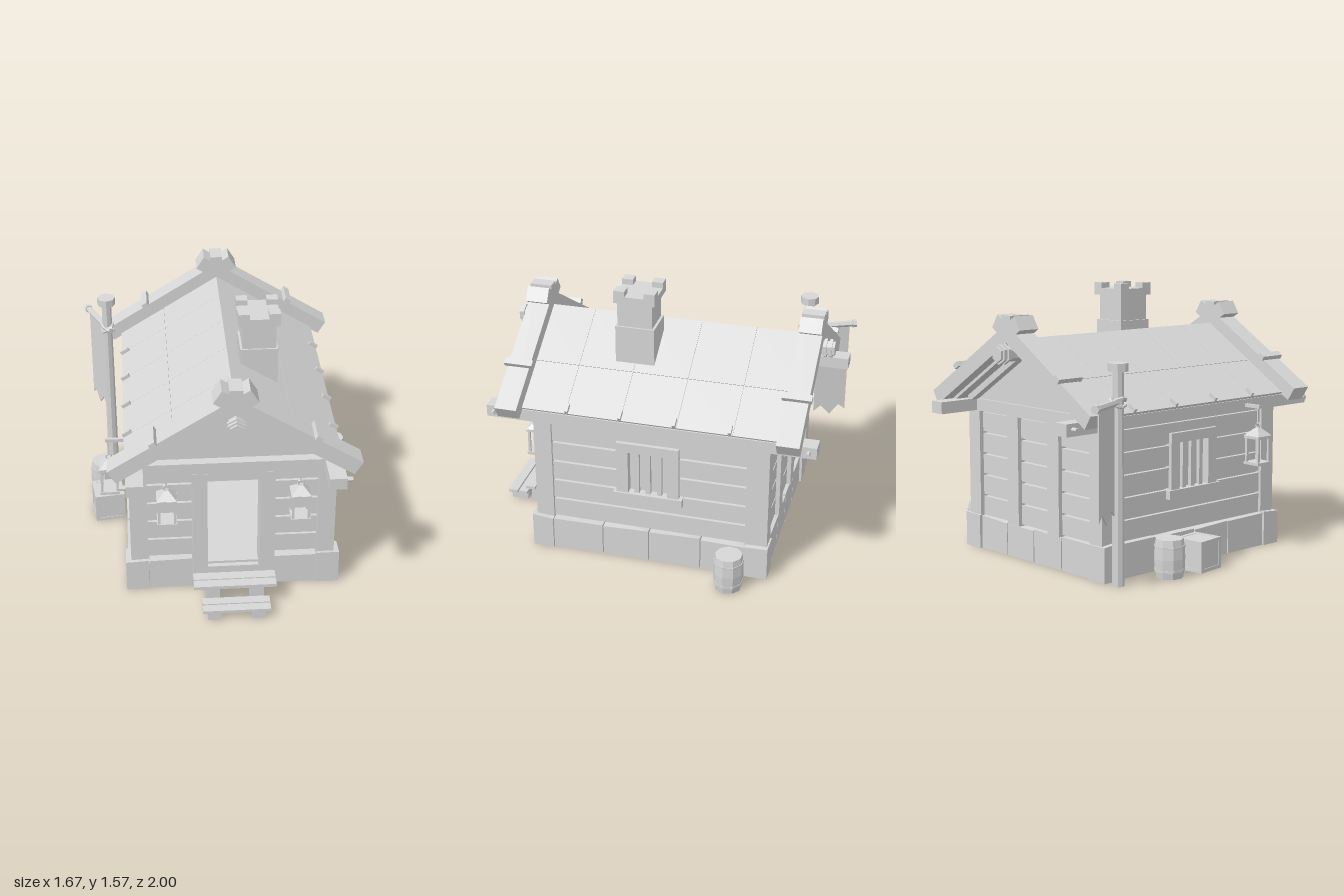
import * as THREE from 'three';

export function createModel() {
  const model = new THREE.Group();
  const house = new THREE.Group();
  house.name = 'house';
  house.position.x = 0.006;
  const props = new THREE.Group();
  props.name = 'yardProps';
  model.add(house, props);
  const clay = new THREE.MeshStandardMaterial({ color: 0xd6d6d6 });

  // Mesh with faceted normals
  function add(name, geo, x = 0, y = 0, z = 0, parent = house) {
    const flat = geo.index ? geo.toNonIndexed() : geo;
    flat.computeVertexNormals();
    const mesh = new THREE.Mesh(flat, clay);
    mesh.name = name;
    mesh.position.set(x, y, z);
    parent.add(mesh);
    return mesh;
  }
  // Box given by its limits
  const span = (name, x0, x1, y0, y1, z0, z1, parent = house) =>
    add(name, new THREE.BoxGeometry(x1 - x0, y1 - y0, z1 - z0),
      (x0 + x1) / 2, (y0 + y1) / 2, (z0 + z1) / 2, parent);
  // Same box on side s (+1 left, -1 right)
  const sided = (name, s, x0, x1, ...rest) =>
    span(name, s > 0 ? x0 : -x1, s > 0 ? x1 : -x0, ...rest);
  const sides = [1, -1];
  const outline = (pts) => new THREE.Shape(pts.map((p) => new THREE.Vector2(...p)));

  // Rough hewn stone: box whose top corners drop a little
  let seed = 7;
  const rnd = () => (seed = (seed * 16807) % 2147483647) / 2147483647;
  function stone(...lim) {
    const mesh = span('foundationStone', ...lim);
    const p = mesh.geometry.attributes.position;
    const drop = [rnd(), rnd(), rnd(), rnd()].map((r) => r * 0.02);
    for (let i = 0; i < p.count; i++) {
      const k = (p.getX(i) > 0 ? 1 : 0) + (p.getZ(i) > 0 ? 2 : 0);
      if (p.getY(i) > 0) p.setY(i, p.getY(i) - drop[k]);
    }
    mesh.geometry.computeVertexNormals();
  }

  // Foundation
  for (const s of sides) {
    const x = (a, b) => (s > 0 ? [a, b] : [-b, -a]);
    stone(...x(0.49, 0.623), 0, 0.215, 0.555, 0.68);
    stone(...x(0.49, 0.623), 0, 0.215, -0.74, -0.605);
    [0.557, 0.25, -0.03, -0.34, -0.607].forEach((z, i, a) => {
      if (i) stone(...x(0.5, 0.61), 0, 0.205, z + 0.003, a[i - 1] - 0.003);
    });
    stone(...x(0.238, 0.487), 0, 0.205, 0.56, 0.67);
    for (let i = 0; i < 2; i++) stone(...x(0.003 + i * 0.245, 0.242 + i * 0.245), 0, 0.205, -0.725, -0.61);
  }
  span('threshold', -0.235, 0.235, 0, 0.135, 0.56, 0.67);

  // Floor and joists
  span('floor', -0.52, 0.52, 0.13, 0.15, -0.65, 0.64);
  for (const z of [-0.24, 0.2]) span('floorJoist', -0.5, 0.5, 0.08, 0.13, z - 0.025, z + 0.025);

  // Corner posts and back posts
  for (const s of sides) {
    sided('cornerPost', s, 0.49, 0.592, 0.19, 0.835, 0.555, 0.66);
    sided('cornerPost', s, 0.49, 0.592, 0.19, 0.835, -0.73, -0.6);
    sided('backPost', s, 0.13, 0.23, 0.19, 0.835, -0.73, -0.67);
  }

  // Plank walls over a thin backing
  const rowH = 0.127;
  for (let i = 0; i < 5; i++) {
    const y0 = 0.2 + i * rowH, y1 = y0 + 0.114;
    span('backPlank', -0.49, 0.49, y0, y1, -0.705, -0.67);
    for (const s of sides) {
      sided('frontPlank', s, 0.235, 0.49, y0, y1, 0.59, 0.625);
      if (i === 2 || i === 3) {
        sided('sidePlank', s, 0.54, 0.575, y0, y1, 0.12, 0.555);
        sided('sidePlank', s, 0.54, 0.575, y0, y1, -0.6, -0.16);
      } else sided('sidePlank', s, 0.54, 0.575, y0, y1, -0.6, 0.555);
    }
  }
  span('backWall', -0.5, 0.5, 0.15, 0.84, -0.675, -0.65);
  for (const s of sides) {
    sided('frontWall', s, 0.2, 0.5, 0.15, 0.84, 0.575, 0.6);
    sided('sideWall', s, 0.53, 0.55, 0.15, 0.84, -0.65, 0.57);

    // Barred window
    sided('windowSill', s, 0.54, 0.61, 0.39, 0.442, -0.228, 0.183);
    sided('windowHead', s, 0.54, 0.6, 0.71, 0.767, -0.206, 0.163);
    sided('windowJamb', s, 0.54, 0.597, 0.442, 0.71, 0.094, 0.163);
    sided('windowJamb', s, 0.54, 0.597, 0.442, 0.71, -0.206, -0.14);
    for (const z of [0.045, -0.022, -0.09])
      sided('windowBar', s, 0.562, 0.585, 0.442, 0.71, z - 0.014, z + 0.014);
  }

  // Doorway with the door swung inward
  for (const s of sides) sided('doorPost', s, 0.15, 0.235, 0.13, 0.835, 0.575, 0.737);
  span('doorLintel', -0.265, 0.265, 0.785, 0.835, 0.575, 0.735);
  span('door', -0.165, -0.148, 0.152, 0.775, 0.28, 0.575);
  for (const y of [0.32, 0.62]) span('doorHinge', -0.15, -0.14, y - 0.012, y + 0.012, 0.56, 0.585);

  // Steps, two planks to each tread
  [[0.238, 0.125, 0.145, 0.74, 0.87], [0.195, 0.054, 0.072, 0.88, 1.0]].forEach(([w, y0, y1, z0, z1]) => {
    const mid = (z0 + z1) / 2;
    span('stepTread', -w, w, y0, y1, z0, mid - 0.004);
    span('stepTread', -w, w, y0, y1, mid + 0.004, z1);
    for (const s of sides) sided('stepSupport', s, 0.088, 0.165, 0, y0, z0 + 0.005, z1 - 0.01);
  });

  // Wall plates with pegs, tie beams, gables
  for (const s of sides) {
    sided('wallPlate', s, 0.508, 0.605, 0.835, 0.905, -0.99, 0.935);
    for (const z of [0.89, -0.945]) {
      const peg = new THREE.CylinderGeometry(0.014, 0.014, 0.06, 6).rotateZ(Math.PI / 2);
      add('platePeg', peg, s * 0.612, 0.872, z);
    }
  }
  span('frontTieBeam', -0.51, 0.51, 0.833, 0.905, 0.6, 0.735);
  span('backTieBeam', -0.51, 0.51, 0.833, 0.905, -0.735, -0.64);
  const gable = outline([[-0.58, 0.9], [0.58, 0.9], [0, 1.27]]);
  for (const z of [0.64, -0.72])
    add('gable', new THREE.ExtrudeGeometry(gable, { depth: 0.04, bevelEnabled: false }), 0, 0, z);

  // Parts lying on a roof slope: d down the slope, h above its top
  const pitch = Math.atan(0.624), c = Math.cos(pitch), n = Math.sin(pitch);
  function onSlope(name, s, d, h, w, t, z, depth) {
    const mesh = add(name, new THREE.BoxGeometry(w, t, depth), s * (d * c + h * n), 1.3 - d * n + h * c, z);
    mesh.rotation.z = -s * pitch;
  }
  for (const s of sides) {
    onSlope('roofDeck', s, 0.357, -0.02, 0.715, 0.026, -0.03, 1.62);
    for (let i = 0; i < 5; i++) {
      const z = -0.03 + (i - 2) * 0.325;
      onSlope('upperRoofPanel', s, 0.197, -0.004, 0.394, 0.008, z, 0.3235);
      onSlope('lowerRoofPanel', s, 0.557, -0.005, 0.322, 0.008, z, 0.3235);
    }
    for (const z of [0.45, 0.137, -0.18, -0.5]) onSlope('eaveClip', s, 0.69, 0.004, 0.055, 0.034, z, 0.018);
    for (const z of [0.783, -0.843]) {
      onSlope('vergeBoard', s, 0.323, 0.03, 0.92, 0.089, z, 0.13);
      onSlope('vergeClip', s, 0.478, 0.087, 0.04, 0.03, z, 0.168);
    }
    for (const z of [0.7, -0.75]) onSlope('gableRafter', s, 0.35, -0.05, 0.62, 0.04, z, 0.05);
  }
  for (const z of [0.783, -0.843]) span('ridgeBlock', -0.037, 0.037, 1.36, 1.435, z - 0.065, z + 0.065);

  // Ridge pole with collars
  const lengthwise = (r, len) => new THREE.CylinderGeometry(r, r, len, 6).rotateX(Math.PI / 2);
  add('ridgePole', lengthwise(0.045, 1.9), 0, 1.222, -0.025);
  for (const z of [0.87, 0.902, -0.92, -0.952]) add('ridgeCollar', lengthwise(0.058, 0.018), 0, 1.222, z);

  // Chimney with corner merlons
  span('chimneyBase', 0.07, 0.286, 1.03, 1.345, 0.02, 0.25);
  span('chimneyShaft', 0.083, 0.275, 1.34, 1.5, 0.035, 0.24);
  span('chimneyCap', 0.058, 0.298, 1.495, 1.537, 0.012, 0.255);
  for (const x of [0.058, 0.233]) for (const z of [0.012, 0.19])
    span('chimneyMerlon', x, x + 0.065, 1.53, 1.57, z, z + 0.065);

  // Lantern hanging from height top
  function lantern(x, y, z, top) {
    const g = new THREE.Group();
    g.name = 'lantern';
    g.position.set(x, y, z);
    house.add(g);
    span('lanternBase', -0.057, 0.057, 0, 0.016, -0.057, 0.057, g);
    span('lanternTop', -0.057, 0.057, 0.155, 0.172, -0.057, 0.057, g);
    for (const px of [-0.045, 0.045]) for (const pz of [-0.045, 0.045])
      span('lanternBar', px - 0.007, px + 0.007, 0.015, 0.16, pz - 0.007, pz + 0.007, g);
    const roof = new THREE.CylinderGeometry(0.018, 0.082, 0.045, 4).rotateY(Math.PI / 4);
    add('lanternRoof', roof, 0, 0.193, 0, g);
    add('lanternRing', new THREE.TorusGeometry(0.016, 0.005, 5, 8), 0, 0.23, 0, g);
    span('lanternHook', -0.005, 0.005, 0.24, top - y, -0.005, 0.005, g);
  }
  for (const s of sides) lantern(s * 0.38, 0.505, 0.708, 0.84);
  lantern(-0.7, 0.53, 0.403, 0.875);
  span('lanternArm', -0.715, -0.59, 0.86, 0.88, 0.393, 0.413);

  // Banner pole with a crossed lashing
  const px = -0.69, pz = -0.705;
  add('bannerPole', new THREE.CylinderGeometry(0.03, 0.034, 1.18, 8), px, 0.59, pz, props);
  add('poleCap', new THREE.CylinderGeometry(0.056, 0.056, 0.045, 8), px, 1.193, pz, props);
  for (const tilt of [-0.6, 0.6]) {
    const rope = add('poleLashing', new THREE.TorusGeometry(0.043, 0.01, 5, 8).rotateX(Math.PI / 2), px, 1.005, pz, props);
    rope.rotation.z = tilt;
  }
  const arm = new THREE.Group();
  arm.name = 'bannerArm';
  arm.position.set(px, 0, pz);
  arm.rotation.y = Math.atan2(0.91, -0.415);
  props.add(arm);
  const crosswise = (r, len) => new THREE.CylinderGeometry(r, r, len, 6).rotateZ(Math.PI / 2);
  add('armRod', crosswise(0.019, 0.36), 0.12, 1.005, 0, arm);
  add('armKnob', crosswise(0.025, 0.025), 0.295, 1.005, 0, arm);
  const cloth = outline([[0.06, 1], [0.06, 0.4], [0.105, 0.435], [0.165, 0.37], [0.222, 0.435],
    [0.265, 0.4], [0.265, 1]]);
  add('banner', new THREE.ExtrudeGeometry(cloth, { depth: 0.009, bevelEnabled: false }), 0, 0, -0.0045, arm);

  // Barrels
  for (const [x, z] of [[0.747, -0.54], [-0.743, -0.37]]) {
    const profile = [[0, 0], [0.078, 0], [0.086, 0.05], [0.089, 0.11], [0.086, 0.17], [0.079, 0.22],
      [0, 0.22]].map((p) => new THREE.Vector2(...p));
    add('barrel', new THREE.LatheGeometry(profile, 9), x, 0, z, props);
    for (const y of [0.045, 0.175])
      add('barrelHoop', new THREE.CylinderGeometry(0.088, 0.088, 0.014, 9), x, y, z, props);
  }

  // Crate with edge battens
  const crate = new THREE.Group();
  crate.name = 'crate';
  crate.position.set(-0.72, 0, -0.117);
  crate.rotation.y = 0.13;
  props.add(crate);
  span('crateBox', -0.088, 0.088, 0.003, 0.178, -0.088, 0.088, crate);
  for (const a of [-0.08, 0.08]) for (const b of [-0.08, 0.08]) {
    const y = 0.09 + a;
    span('crateBatten', a - 0.012, a + 0.012, 0, 0.18, b - 0.012, b + 0.012, crate);
    span('crateBatten', -0.092, 0.092, y - 0.01, y + 0.01, b - 0.012, b + 0.012, crate);
    span('crateBatten', b - 0.012, b + 0.012, y - 0.01, y + 0.01, -0.092, 0.092, crate);
  }
  return model;
}
